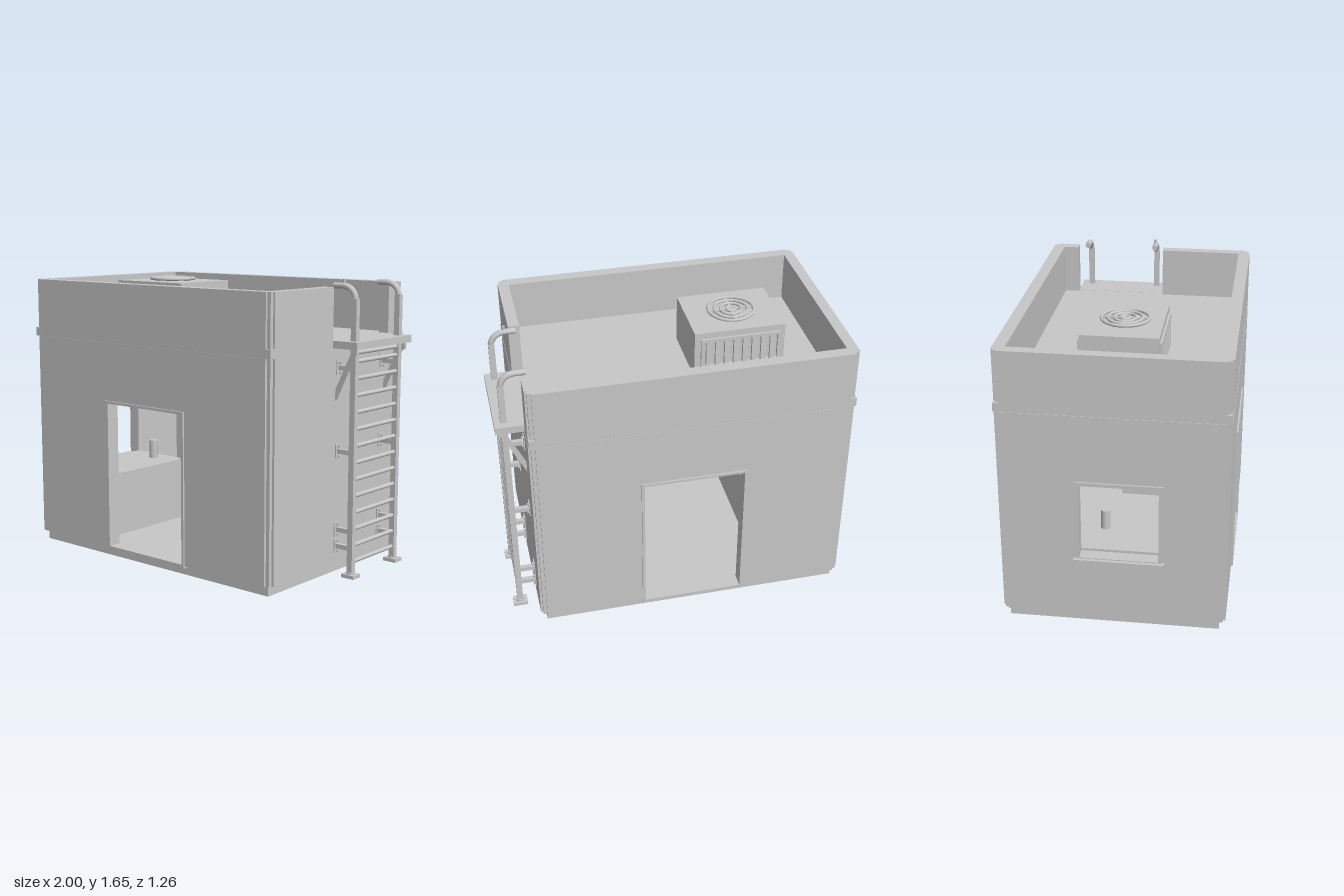
import * as THREE from 'three';

const grey = new THREE.MeshStandardMaterial({ color: 0xc8c8c8 });
grey.name = 'concreteGrey';

export function createModel() {
  const model = new THREE.Group();
  model.name = 'rooftopHut';

  const add = (name, geo, parent = model) => {
    const m = new THREE.Mesh(geo, grey);
    m.name = name;
    parent.add(m);
    return m;
  };
  const group = (name) => {
    const g = new THREE.Group();
    g.name = name;
    model.add(g);
    return g;
  };
  // box given by its limits
  const box = (name, x0, x1, y0, y1, z0, z1, parent) => {
    const m = add(name, new THREE.BoxGeometry(x1 - x0, y1 - y0, z1 - z0), parent);
    m.position.set((x0 + x1) / 2, (y0 + y1) / 2, (z0 + z1) / 2);
    return m;
  };
  // rectangular panel in (u, y) with an optional rectangular hole, extruded
  const panel = (r, hole, depth) => {
    const trace = (p, [a, b, c, d]) =>
      p.moveTo(a, c).lineTo(b, c).lineTo(b, d).lineTo(a, d).closePath();
    const s = new THREE.Shape();
    trace(s, r);
    if (hole) {
      const h = new THREE.Path();
      trace(h, hole);
      s.holes.push(h);
    }
    return new THREE.ExtrudeGeometry(s, { depth, bevelEnabled: false });
  };
  // straight round bar between two points
  const bar = (name, a, b, r, parent, sides = 12) => {
    const A = new THREE.Vector3(...a), B = new THREE.Vector3(...b);
    const m = add(name, new THREE.CylinderGeometry(r, r, A.distanceTo(B), sides), parent);
    m.position.copy(A).add(B).multiplyScalar(0.5);
    m.quaternion.setFromUnitVectors(new THREE.Vector3(0, 1, 0), B.sub(A).normalize());
    return m;
  };

  // plinth with floor, and roof slab
  box('plinth', -0.935, 0.81, 0, 0.062, -0.585, 0.585);
  box('roofSlab', -0.967, 0.843, 1.27, 1.32, -0.618, 0.618);

  // front and back walls with door openings, framed outside
  const door = [-0.345, 0.228, 0.07, 0.918];
  for (const s of [1, -1]) {
    const name = s > 0 ? 'front' : 'back';
    add(name + 'Wall', panel([-0.935, 0.81, 0.06, 1.27], door, 0.07)).position.z = s > 0 ? 0.55 : -0.62;
    add(name + 'DoorFrame', panel([-0.367, 0.244, 0.05, 0.933], door, 0.08)).position.z = s > 0 ? 0.55 : -0.63;
    box(name + 'Parapet', -0.935, 0.81, 1.32, 1.61, s > 0 ? 0.55 : -0.618, s > 0 ? 0.618 : -0.55);
  }

  // side walls, with a window on the -x side
  const win = [-0.18, 0.25, 0.43, 0.87];
  const sidePanel = (name, r, hole, depth, xOuter) => {
    const m = add(name, panel(r, hole, depth).rotateY(-Math.PI / 2));
    m.position.x = xOuter;
    return m;
  };
  sidePanel('windowWall', [-0.585, 0.585, 0.06, 1.27], win, 0.065, -0.905);
  sidePanel('ladderWall', [-0.585, 0.585, 0.06, 1.27], null, 0.065, 0.845);
  sidePanel('windowFrame', [-0.2, 0.27, 0.41, 0.89], win, 0.075, -0.905);
  box('windowSill', -1, -0.95, 0.4, 0.425, -0.21, 0.28);
  box('sideParapet', -0.967, -0.905, 1.32, 1.61, -0.585, 0.585);
  box('gateParapetFront', 0.78, 0.843, 1.32, 1.61, 0.075, 0.585);
  box('gateParapetBack', 0.78, 0.843, 1.32, 1.61, -0.585, -0.465);

  // recessed corner posts
  for (const z of [-0.58, 0.58]) for (const x of [-0.931, 0.806]) {
    box('cornerPostLower', x - 0.026, x + 0.026, 0.06, 1.27, z - 0.026, z + 0.026);
    box('cornerPostUpper', x - 0.026, x + 0.026, 1.32, 1.61, z - 0.026, z + 0.026);
  }

  // indoor counters and the small canisters on one of them
  box('counterLeft', -0.905, -0.5, 0.06, 0.445, -0.18, 0.55);
  box('counterRightPanel', 0.4, 0.455, 0.06, 0.4, -0.14, 0.55);
  box('counterRightTop', 0.455, 0.78, 0.365, 0.4, -0.14, 0.55);
  for (const z of [-0.08, 0.36]) bar('canister', [-0.67, 0.445, z], [-0.67, 0.56, z], 0.027, model, 16);

  // rooftop air conditioner
  const ac = group('airConditioner');
  box('housing', -0.67, -0.15, 1.32, 1.597, -0.212, 0.212, ac);
  for (const s of [1, -1]) {
    const grille = add('grilleFrame', panel([-0.64, -0.185, 1.38, 1.56], [-0.625, -0.2, 1.395, 1.545], 0.014), ac);
    grille.position.z = s > 0 ? 0.212 : -0.226;
    for (let i = 0; i < 8; i++) {
      const x = -0.595 + i * 0.0525;
      const fin = box('grilleFin', x - 0.017, x + 0.017, 1.395, 1.545, s * 0.222 - 0.004, s * 0.222 + 0.004, ac);
      fin.rotation.y = 0.35;
    }
  }
  // fan guard: round wire rings and a cross
  for (const r of [0.13, 0.095, 0.06, 0.025]) {
    const ring = add('fanRing', new THREE.TorusGeometry(r, 0.009, 10, 40).rotateX(Math.PI / 2), ac);
    ring.position.set(-0.412, 1.609, 0);
  }
  box('fanSpokeX', -0.54, -0.284, 1.597, 1.612, -0.007, 0.007, ac);
  box('fanSpokeZ', -0.419, -0.405, 1.597, 1.612, -0.128, 0.128, ac);

  // ladder platform with triangular braces
  const ladder = group('ladder');
  box('platform', 0.8, 1, 1.28, 1.321, -0.465, 0.077, ladder);
  for (const z of [0.043, -0.432]) {
    const s = new THREE.Shape([[0.842, 0.985], [0.982, 1.28], [0.955, 1.28], [0.842, 1.045]]
      .map((p) => new THREE.Vector2(...p)));
    add('brace', new THREE.ExtrudeGeometry(s, { depth: 0.016, bevelEnabled: false }), ladder).position.z = z - 0.008;
    box('braceLug', 0.955, 0.982, 1.24, 1.28, z - 0.01, z + 0.01, ladder);
  }

  // square rails with curved grab handles, feet and wall brackets
  const V = (x, y, z) => new THREE.Vector3(x, y, z);
  for (const z of [0.02, -0.405]) {
    box('rail', 0.93, 0.964, 0.01, 1.55, z - 0.016, z + 0.016, ladder);
    const path = new THREE.CurvePath();
    path.add(new THREE.CubicBezierCurve3(V(0.947, 1.54, z), V(0.947, 1.585, z), V(0.91, 1.616, z), V(0.865, 1.616, z)));
    path.add(new THREE.LineCurve3(V(0.865, 1.616, z), V(0.812, 1.616, z)));
    add('grabHandle', new THREE.TubeGeometry(path, 20, 0.017, 10), ladder);
    bar('handleEnd', [0.808, 1.616, z], [0.814, 1.616, z], 0.017, ladder, 10);
    box('foot', 0.905, 0.988, 0, 0.02, z - 0.034, z + 0.034, ladder);
    bar('footCollar', [0.947, 0.018, z], [0.947, 0.03, z], 0.025, ladder);
    for (const y of [0.165, 0.26, 0.705, 1.17]) {
      box('standoff', 0.845, 0.935, y - 0.013, y + 0.013, z - 0.013, z + 0.013, ladder);
      box('bracketPlate', 0.843, 0.851, y - 0.04, y + 0.04, z - 0.025, z + 0.025, ladder);
      for (const d of [-0.028, 0.028]) bar('bolt', [0.85, y + d, z], [0.86, y + d, z], 0.008, ladder, 6);
    }
  }
  bar('handleKnob', [0.872, 1.625, 0.02], [0.872, 1.652, 0.02], 0.008, ladder);

  // rungs
  for (let i = 0; i < 13; i++) {
    const y = 0.088 + i * 0.0935;
    bar('rung', [0.947, y, 0.01], [0.947, y, -0.395], 0.012, ladder);
  }
  bar('topRung', [0.947, 1.258, 0.01], [0.947, 1.258, -0.395], 0.012, ladder);

  return model;
}
